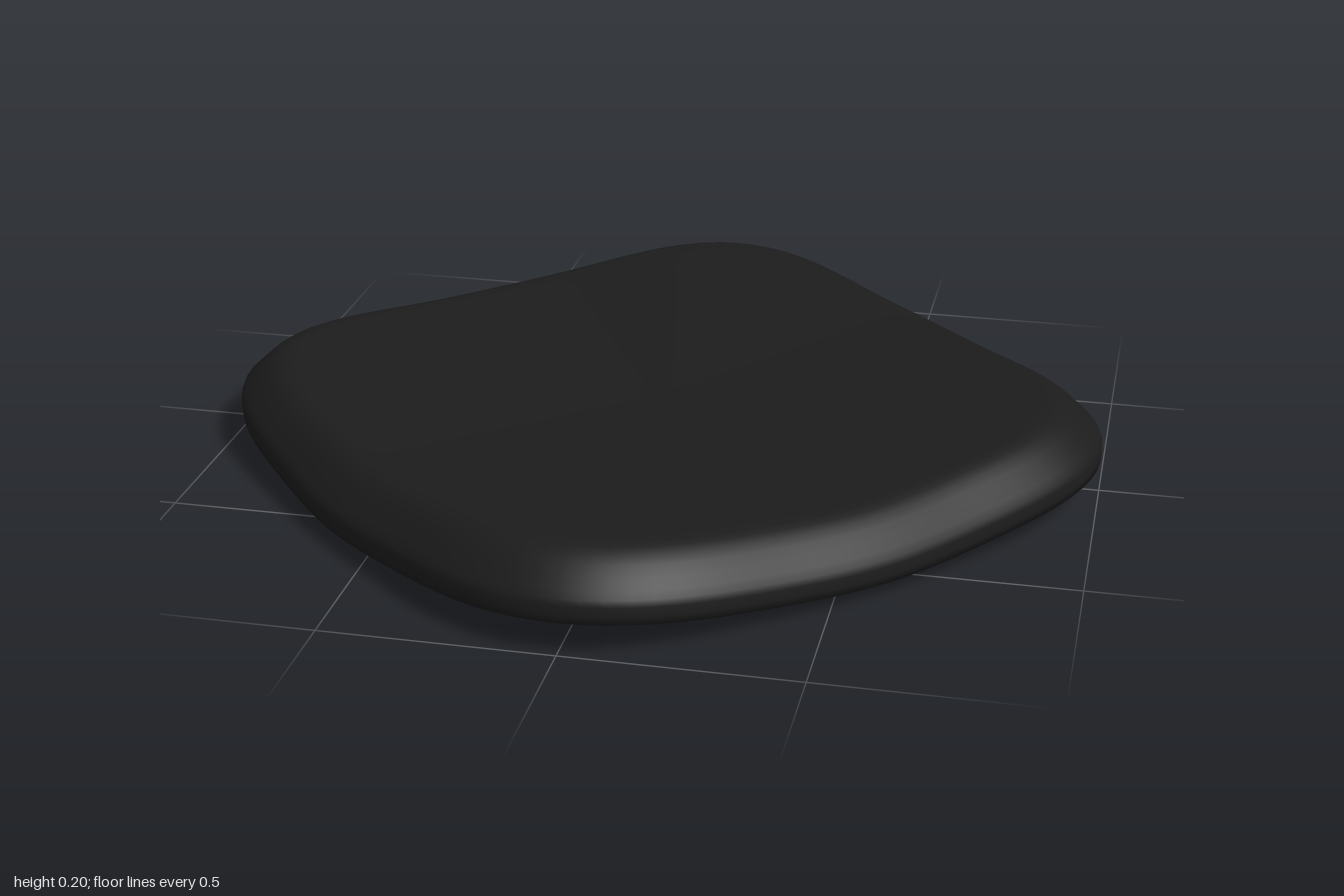
import * as THREE from 'three';

const SEGMENTS = 128;
const THICKNESS = 0.142;

// Plan outline: a diamond with generously rounded corners and near-straight sides
const outline = (a) => 0.918 + 0.07 * Math.cos(4 * a) + 0.012 * Math.cos(8 * a);
// Dished underside, lifted most at the four corners
const underside = (r, a) => Math.pow(r, 1.4) * (0.0525 + 0.0175 * Math.cos(4 * a));

// Cross-section from top centre, over the rolled rim, to bottom centre:
// [fraction of outline radius, fraction of thickness]
const section = [
  [0, 1], [0.12, 1], [0.25, 1], [0.4, 1], [0.55, 1], [0.68, 1], [0.77, 1], [0.83, 1], [0.86, 0.998],
  [0.88, 0.985], [0.9, 0.95], [0.92, 0.88], [0.94, 0.78], [0.96, 0.645], [0.98, 0.5],
  [0.994, 0.39], [1, 0.29], [1, 0.14], [0.999, 0.02], [0.97, 0], [0.9, 0], [0.8, 0],
  [0.65, 0], [0.5, 0], [0.35, 0], [0.2, 0], [0.1, 0], [0, 0],
];

function cushionGeometry() {
  const positions = [];
  const index = [];
  const last = section.length - 1;
  section.forEach(([f, t], i) => {
    for (let j = 0; j < SEGMENTS; j++) {
      const a = (j / SEGMENTS) * Math.PI * 2;
      const r = f * outline(a);
      positions.push(r * Math.cos(a), underside(r, a) + t * THICKNESS, r * Math.sin(a));
      if (i === last) continue;
      const p = i * SEGMENTS + j;
      const q = i * SEGMENTS + ((j + 1) % SEGMENTS);
      if (i > 0) index.push(p, q, p + SEGMENTS);
      if (i < last - 1) index.push(q, q + SEGMENTS, p + SEGMENTS);
    }
  });
  const geometry = new THREE.BufferGeometry();
  geometry.setAttribute('position', new THREE.Float32BufferAttribute(positions, 3));
  geometry.setIndex(index);
  geometry.computeVertexNormals();
  // Centre points share a straight vertical normal
  const normal = geometry.attributes.normal;
  for (let j = 0; j < SEGMENTS; j++) {
    normal.setXYZ(j, 0, 1, 0);
    normal.setXYZ(last * SEGMENTS + j, 0, -1, 0);
  }
  return geometry;
}

export function createModel() {
  const group = new THREE.Group();
  group.name = 'seatPad';
  const charcoal = new THREE.MeshStandardMaterial({ color: 0x1c1c1c });
  charcoal.name = 'charcoal';
  const cushion = new THREE.Mesh(cushionGeometry(), charcoal);
  cushion.name = 'cushion';
  group.add(cushion);
  return group;
}
